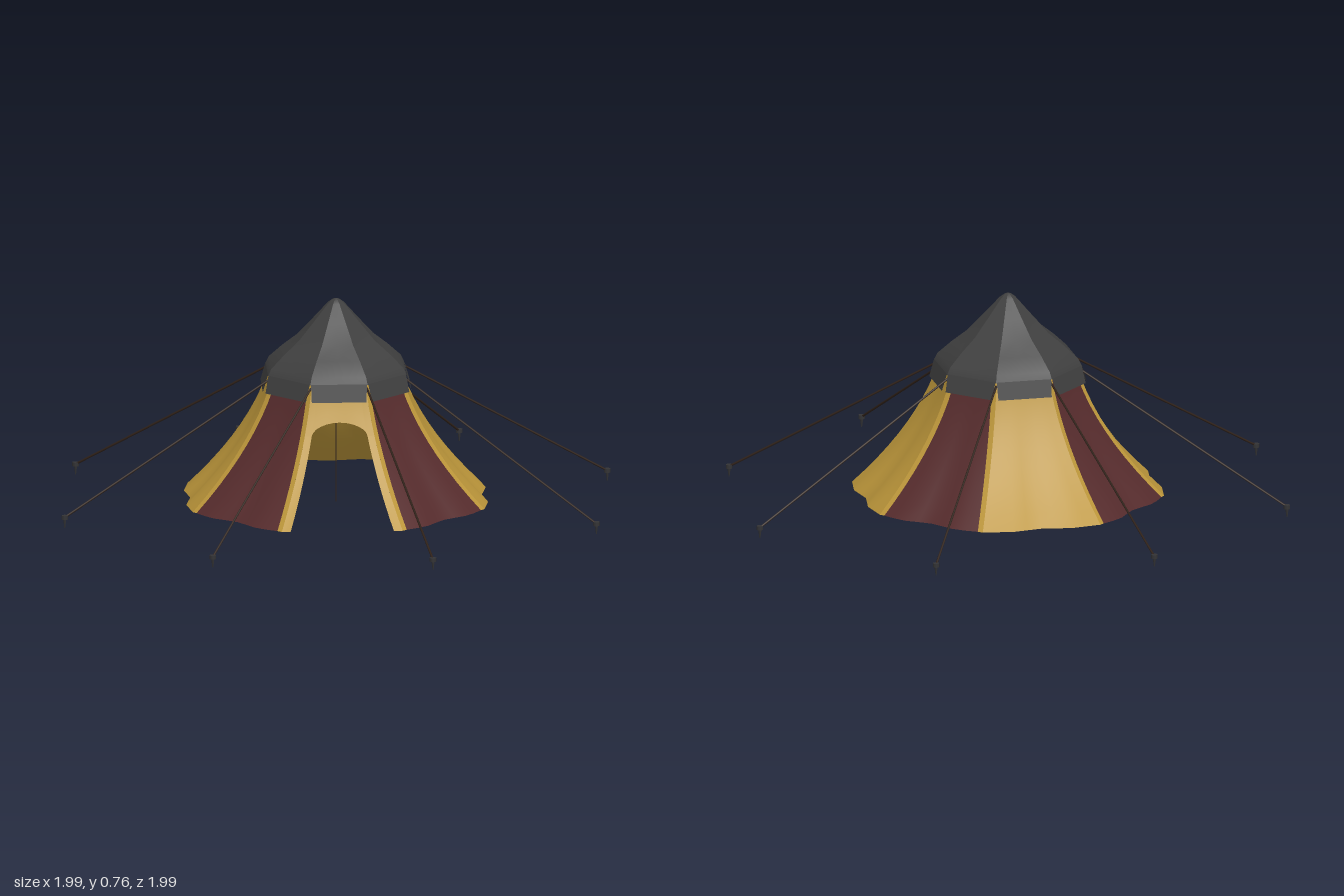
import * as THREE from 'three';

const mat = (name, color, double) => {
  const m = new THREE.MeshStandardMaterial({ color });
  m.name = name;
  if (double) m.side = THREE.DoubleSide;
  return m;
};

const HALF = Math.PI / 8; // half the angle of one of the eight panels
const BOTTOM = 0.03, TOP = 0.5, SPRING = 0.326, BAND = 0.02;

// Grid surface from a function of (i, j), smooth inside the panel
function grid(nu, nv, fn) {
  const pos = [], idx = [];
  for (let j = 0; j <= nv; j++) for (let i = 0; i <= nu; i++) pos.push(...fn(i, j));
  for (let j = 0; j < nv; j++) for (let i = 0; i < nu; i++) {
    const a = j * (nu + 1) + i, b = a + 1, c = b + nu + 1, d = a + nu + 1;
    idx.push(a, b, c, a, c, d);
  }
  const g = new THREE.BufferGeometry();
  g.setAttribute('position', new THREE.Float32BufferAttribute(pos, 3));
  g.setIndex(idx);
  g.computeVertexNormals();
  return g;
}

// Corner radius of the walls at height y
function cornerRadius(y) {
  const s = (TOP - y) / (TOP - BOTTOM);
  return 0.25 + 0.139 * s + 0.176 * s * s;
}

// Point on a front-facing canvas panel: u runs -1..1 between its corners
function canvas(u, y) {
  const s = (TOP - y) / (TOP - BOTTOM), c = cornerRadius(y);
  const ripple = 0.018 * Math.sin(Math.PI * u) ** 2 * s * s;
  return [u * c * Math.sin(HALF), y, c * Math.cos(HALF) + ripple];
}

const lerp = THREE.MathUtils.lerp;

// Full-height piece of a panel between two edges, each a function of y
const wall = (nu, from, to) => grid(nu, 10, (i, j) => {
  const y = lerp(BOTTOM, TOP, j / 10);
  return canvas(lerp(from(y), to(y), i / nu), y);
});

function rod(a, b, r, material) {
  const dir = b.clone().sub(a);
  const m = new THREE.Mesh(new THREE.CylinderGeometry(r, r, dir.length(), 6), material);
  m.position.copy(a).addScaledVector(dir, 0.5);
  m.quaternion.setFromUnitVectors(new THREE.Vector3(0, 1, 0), dir.normalize());
  return m;
}

const polar = (phi, r, y) => new THREE.Vector3(Math.sin(phi) * r, y, Math.cos(phi) * r);

export function createModel() {
  const yellow = mat('ochre canvas', 0xbc963a, true);
  const red = mat('maroon canvas', 0x552b2c, true);
  const grey = mat('charcoal canvas', 0x3f3f3f, true);
  const ropeMat = mat('dark rope', 0x30221a);
  const pegMat = mat('dark metal', 0x333335);

  const model = new THREE.Group();
  model.name = 'tent';
  const add = (name, geometry, material, parent = model) => {
    const m = new THREE.Mesh(geometry, material);
    m.name = name;
    parent.add(m);
    return m;
  };

  // Wall panels; the ochre ones wrap round the corners as bands on the maroon ones
  const left = () => -1, right = () => 1;
  const inset = y => 1 - BAND / (cornerRadius(y) * Math.sin(HALF));
  const ochrePanel = wall(8, left, right);
  const maroonPanel = wall(8, y => -inset(y), inset);
  const bands = [wall(1, left, y => -inset(y)), wall(1, inset, right)];
  for (let k = 1; k < 8; k++) {
    const angle = k * 2 * HALF;
    if (k % 2 === 0) {
      add('ochrePanel', ochrePanel, yellow).rotation.y = angle;
    } else {
      add('maroonPanel', maroonPanel, red).rotation.y = angle;
      for (const band of bands) add('cornerBand', band, yellow).rotation.y = angle;
    }
  }

  // Front panel: two door strips and the arched part above them
  const door = new THREE.Group();
  door.name = 'doorPanel';
  model.add(door);
  for (const side of [-1, 1]) {
    add('doorStrip', grid(2, 8, (i, j) => {
      const edge = lerp(0.855, 0.8, j / 8);
      const t = side < 0 ? 1 - i / 2 : i / 2;
      return canvas(side * lerp(edge, 1, t), lerp(BOTTOM, SPRING, j / 8));
    }), yellow, door);
  }
  const columns = [-1];
  for (let i = 0; i <= 12; i++) columns.push(-0.8 * Math.cos(Math.PI * i / 12));
  columns.push(1);
  add('doorArch', grid(columns.length - 1, 4, (i, j) => {
    const u = columns[i];
    const low = SPRING + 0.044 * Math.sqrt(Math.max(0, 1 - (u / 0.8) ** 2));
    return canvas(u, lerp(low, TOP, j / 4));
  }), yellow, door);

  // Eight-sided roof cap with creased ridges, its hanging flaps and inner hem
  const profile = [[0.268, 0.5], [0.255, 0.525], [0.203, 0.572], [0.146, 0.617],
    [0.085, 0.683], [0.03, 0.744], [0.012, 0.757], [0, 0.76]];
  const roof = grid(2, profile.length - 1, (i, j) => {
    const [r, y] = profile[j];
    return [(i - 1) * r * Math.sin(HALF), y, r * Math.cos(HALF)];
  });
  const flap = grid(4, 1, (i, j) => [
    (i / 2 - 1) * (j ? 0.1 : 0.098), j ? 0.502 : 0.44, j ? 0.248 : 0.266]);
  const hem = grid(2, 1, (i, j) => {
    const [x, y, z] = canvas((i - 1) * 0.9, j ? 0.46 : 0.415);
    return [x, y, z - 0.004];
  });
  for (let k = 0; k < 8; k++) {
    const angle = k * 2 * HALF;
    add('roofPanel', roof, grey).rotation.y = angle;
    add('capFlap', flap, grey).rotation.y = angle;
    add('innerHem', hem, grey).rotation.y = angle;
  }

  // Centre pole
  const pole = rod(new THREE.Vector3(0, 0.01, 0), new THREE.Vector3(0, 0.75, 0), 0.003, ropeMat);
  pole.name = 'centrePole';
  model.add(pole);

  // Guy ropes and pegs, swung slightly off the corners
  const headGeo = new THREE.CylinderGeometry(0.012, 0.012, 0.014, 8);
  const pinGeo = new THREE.CylinderGeometry(0.007, 0.002, 0.036, 6);
  for (let k = 0; k < 8; k++) {
    const corner = HALF * (2 * k + 1);
    const end = polar(corner - 0.092, 1.03, 0.038);
    const rope = rod(polar(corner, 0.262, 0.487), end, 0.004, ropeMat);
    rope.name = 'guyRope';
    model.add(rope);
    add('pegHead', headGeo, pegMat).position.copy(end);
    add('pegPin', pinGeo, pegMat).position.set(end.x, 0.018, end.z);
  }
  return model;
}
